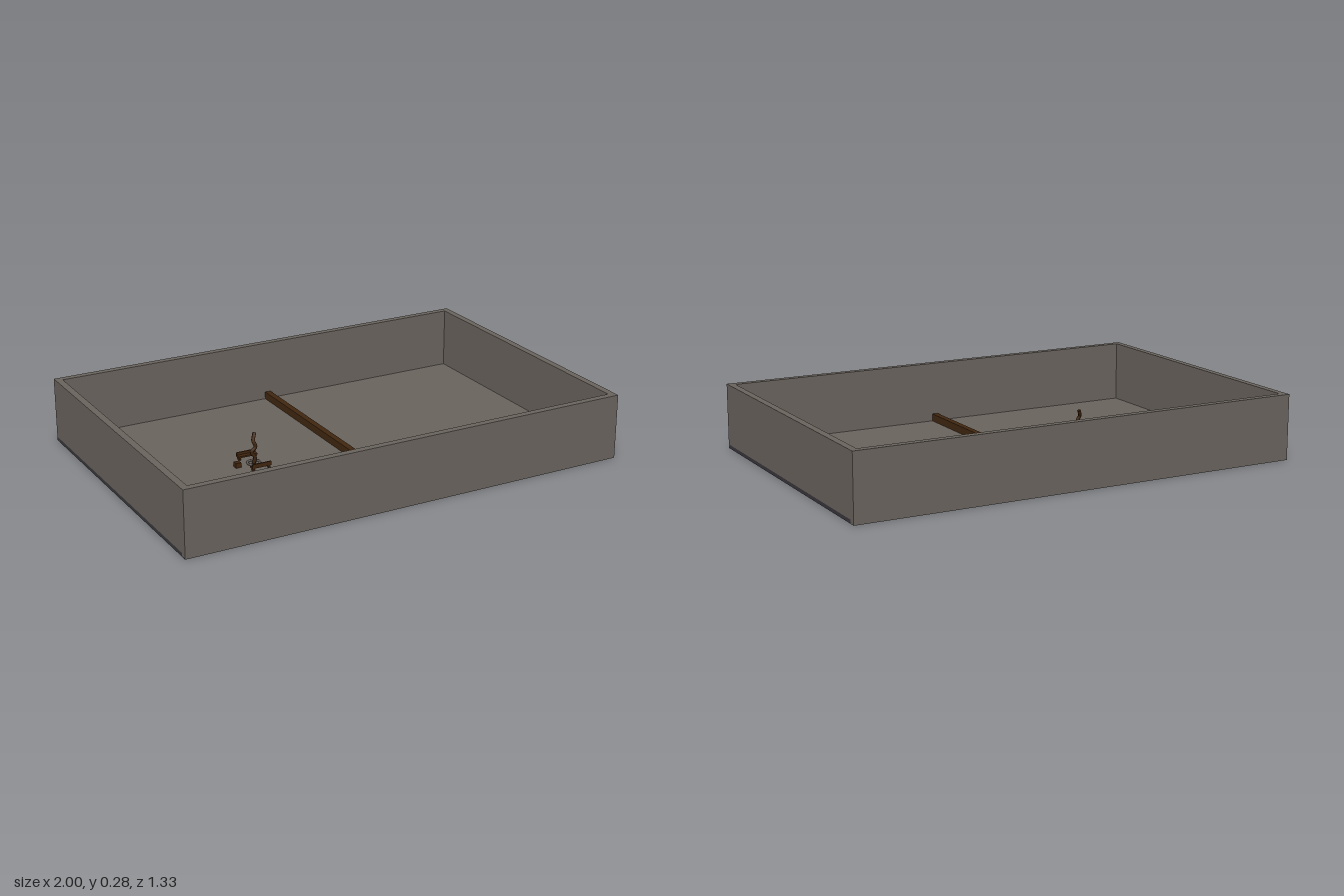
import * as THREE from 'three';

const stone = new THREE.MeshStandardMaterial({ color: 0x68625c });
stone.name = 'warm grey stone';
const wood = new THREE.MeshStandardMaterial({ color: 0x40260f, side: THREE.DoubleSide });
wood.name = 'dark brown wood';
const dark = new THREE.MeshStandardMaterial({ color: 0x38363a });
dark.name = 'charcoal trim';

function add(parent, name, geometry, material, x, y, z) {
  const mesh = new THREE.Mesh(geometry, material);
  mesh.name = name;
  mesh.position.set(x, y, z);
  parent.add(mesh);
  return mesh;
}

const box = (w, h, d) => new THREE.BoxGeometry(w, h, d);

export function createModel() {
  const model = new THREE.Group();
  model.name = 'walledArena';
  const W = 1, D = 0.667, H = 0.285, T = 0.03, F = 0.016;

  // Floor slab with dark trim along both ends
  add(model, 'floor', box(2 * W - 0.004, F, 2 * D - 0.002), stone, 0, F / 2, 0);
  for (const s of [-1, 1]) {
    add(model, 'endTrim', box(0.002, F, 2 * D - 0.002), dark, s * (W - 0.001), F / 2, 0);
  }

  // Four walls
  for (const s of [-1, 1]) {
    add(model, 'longWall', box(2 * W, H, T), stone, 0, H / 2, s * (D - T / 2));
    add(model, 'endWall', box(T, H - F, 2 * (D - T)), stone, s * (W - T / 2), (H + F) / 2, 0);
  }

  // Beam dividing the floor
  add(model, 'dividingBeam', box(0.027, 0.033, 2 * (D - T)), wood, 0.0135, F + 0.0165, 0);

  // Small seating group
  const seating = new THREE.Group();
  seating.name = 'seatingGroup';
  seating.position.set(-0.385, F, 0.012);
  model.add(seating);

  // Benches face each other across the centre
  for (const [z, s, depth] of [[-0.064, -1, 0.026], [0.066, 1, 0.022]]) {
    add(seating, 'benchSeat', box(0.088, 0.007, depth), wood, 0, 0.016, z);
    add(seating, 'benchBack', box(0.088, 0.014, 0.006), wood, 0, 0.024, z + s * (depth / 2 - 0.003));
    for (const x of [-0.036, 0.036]) {
      add(seating, 'benchLeg', box(0.008, 0.014, depth * 0.7), wood, x, 0.007, z);
    }
  }
  add(seating, 'stool', box(0.024, 0.022, 0.024), wood, -0.076, 0.011, 0);

  // Low ring with a curling stem rising from it
  const ring = add(seating, 'ring', new THREE.TorusGeometry(0.027, 0.005, 6, 16), stone, 0, 0.005, 0);
  ring.rotation.x = Math.PI / 2;
  const path = new THREE.CatmullRomCurve3([
    [0, 0, 0], [0.004, 0.03, 0.004], [-0.012, 0.055, 0.004], [0.004, 0.08, 0.012],
    [-0.004, 0.105, 0.006], [0.006, 0.122, -0.008], [0.012, 0.134, -0.012],
  ].map((p) => new THREE.Vector3(...p)));
  add(seating, 'curlingStem', new THREE.TubeGeometry(path, 20, 0.008, 6), wood, 0, 0, 0);

  return model;
}
